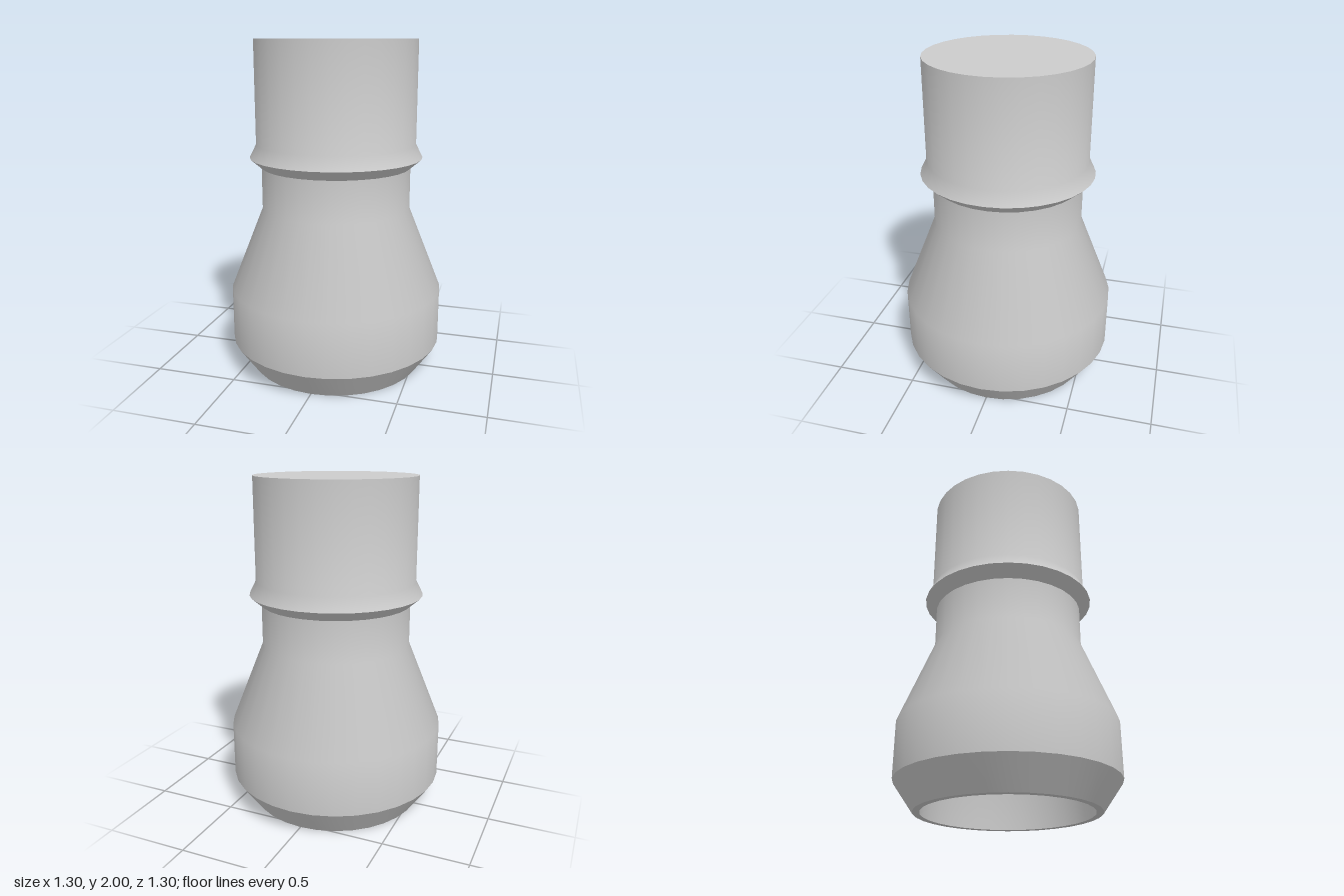
import * as THREE from 'three';
import { toCreasedNormals } from 'three/addons/utils/BufferGeometryUtils.js';

const SIDES = 32;

// Revolve [radius, height] pairs, keeping edges above 30 degrees sharp
function revolve(name, profile, material) {
  const points = profile.map(([r, y]) => new THREE.Vector2(r, y));
  const geometry = toCreasedNormals(new THREE.LatheGeometry(points, SIDES), Math.PI / 6);
  const mesh = new THREE.Mesh(geometry, material);
  mesh.name = name;
  return mesh;
}

export function createModel() {
  const group = new THREE.Group();
  group.name = 'reducerFitting';
  const material = new THREE.MeshStandardMaterial({ color: 0xcccccc });

  // Outer skin: chamfered foot, wide body, shoulder, neck, collar, capped barrel
  group.add(revolve('outerShell', [
    [0.53, 0], [0.65, 0.17], [0.65, 0.5], [0.45, 1.0], [0.45, 1.25],
    [0.52, 1.31], [0.48, 1.39], [0.48, 2], [0, 2],
  ], material));

  // Hollow inside, from the closed end down to the open foot
  group.add(revolve('innerBore', [
    [0, 1.96], [0.41, 1.96], [0.41, 1.0], [0.49, 0.8], [0.49, 0],
  ], material));

  // Flat rim joining the bore to the outer skin
  group.add(revolve('bottomRim', [[0.49, 0], [0.53, 0]], material));

  return group;
}
